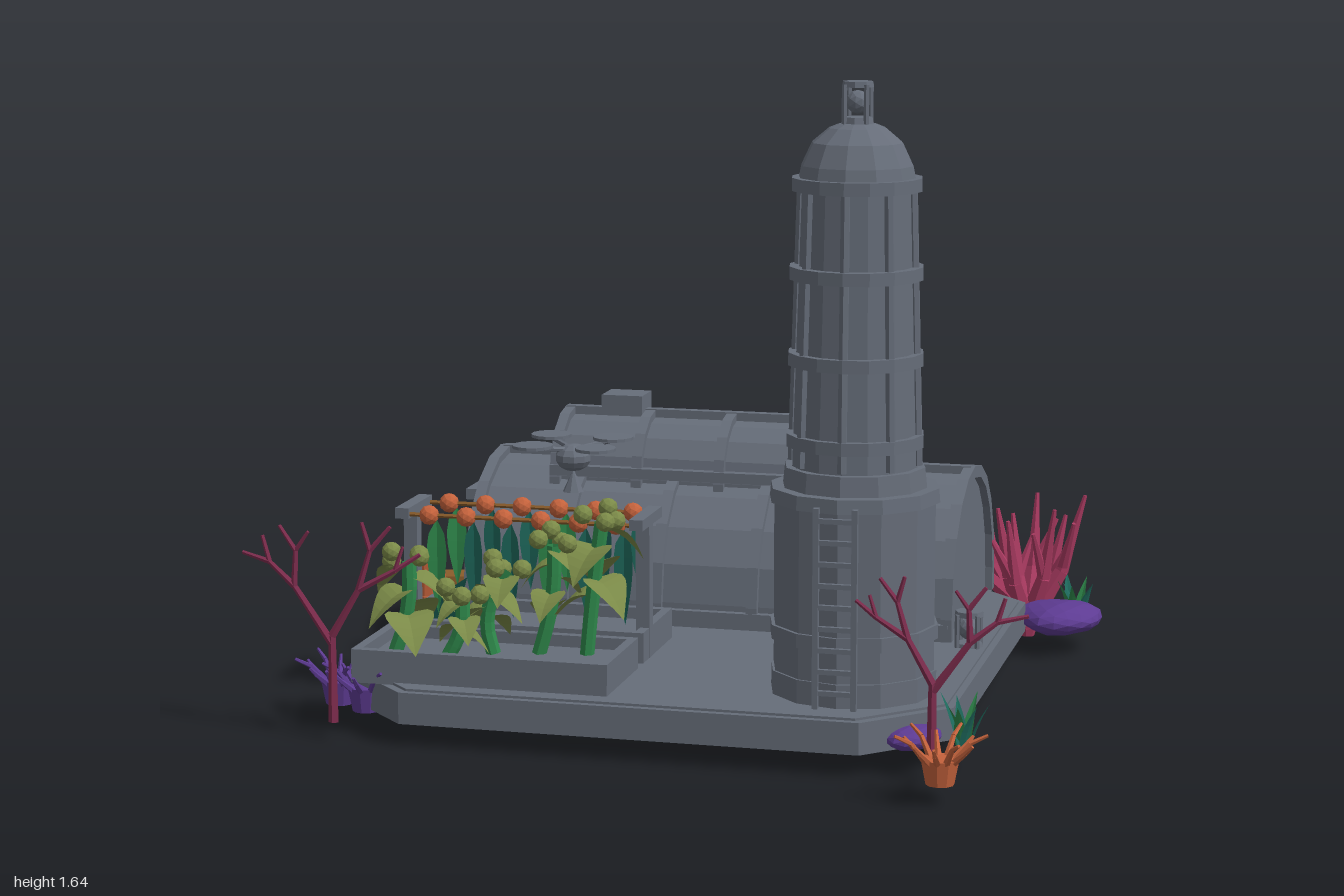
import * as THREE from 'three';

const mat = (name, color, side = THREE.FrontSide) => Object.assign(new THREE.MeshStandardMaterial({ color, side }), { name });
const V = (x, y, z) => new THREE.Vector3(x, y, z);

// Gives every face its own flat normal
function flat(geo) {
  const g = geo.index ? geo.toNonIndexed() : geo;
  g.computeVertexNormals();
  return g;
}

function add(parent, name, geo, material, x = 0, y = 0, z = 0) {
  const m = new THREE.Mesh(flat(geo), material);
  m.name = name;
  m.position.set(x, y, z);
  parent.add(m);
  return m;
}

function group(parent, name, x = 0, y = 0, z = 0) {
  const g = new THREE.Group();
  g.name = name;
  g.position.set(x, y, z);
  parent.add(g);
  return g;
}

// Tapered round bar between two points
function bar(parent, name, a, b, r0, r1, material, sides = 6) {
  const d = b.clone().sub(a);
  const m = add(parent, name, new THREE.CylinderGeometry(r1, r0, d.length(), sides), material);
  m.position.copy(a).addScaledVector(d, 0.5);
  m.quaternion.setFromUnitVectors(V(0, 1, 0), d.normalize());
  return m;
}

// Arched outline with short straight walls
function archPath(path, r, wall, n) {
  path.moveTo(r, 0);
  for (let i = 0; i <= n; i++) path.lineTo(r * Math.cos(i / n * Math.PI), wall + r * Math.sin(i / n * Math.PI));
  path.lineTo(-r, 0);
  path.closePath();
  return path;
}

// Barrel vault along x; an inner radius makes it a hollow rib
function vault(r, wall, n, length, inner) {
  const s = archPath(new THREE.Shape(), r, wall, n);
  if (inner) s.holes.push(archPath(new THREE.Path(), inner, wall, n));
  return new THREE.ExtrudeGeometry(s, { depth: length, bevelEnabled: false }).translate(0, 0, -length / 2).rotateY(Math.PI / 2);
}

// Square outline with cut corners
function platePath(path, h, c) {
  return path.setFromPoints([[-h + c, -h], [h - c, -h], [h, -h + c], [h, h - c], [h - c, h], [-h + c, h], [-h, h - c], [-h, -h + c], [-h + c, -h]].map(q => new THREE.Vector2(...q)));
}

// Pointed leaf growing along +z, folded at the midrib and drooping
function leafGeo(length, width, droop) {
  const g = new THREE.PlaneGeometry(1, 1, 2, 7), p = g.attributes.position;
  for (let i = 0; i < p.count; i++) {
    const t = 0.5 - p.getY(i), w = width * (Math.sin(Math.PI * Math.pow(t, 0.65)) + 0.06 * (1 - t));
    p.setXYZ(i, p.getX(i) * w, Math.abs(p.getX(i)) * w * 0.25 - droop * t * t, t * length);
  }
  return g;
}

export function createModel() {
  const root = new THREE.Group();
  root.name = 'seabedStation';
  const metal = mat('slate metal', 0x666d79), brown = mat('brown', 0x8a5c2b), orange = mat('orange', 0xc4623c);
  const olive = mat('olive', 0x7b8a48, THREE.DoubleSide), green = mat('green', 0x2f8a4c, THREE.DoubleSide);
  const teal = mat('teal', 0x1f6b5e, THREE.DoubleSide), purple = mat('purple', 0x5d3b92);
  const crimson = mat('crimson', 0xa83a60), maroon = mat('maroon', 0x7f2d4e);
  let seed = 7;
  const rnd = (a, b) => { seed = (seed * 16807) % 2147483647; return a + (b - a) * seed / 2147483647; };
  const box = (p, name, w, h, d, m, x, y, z) => add(p, name, new THREE.BoxGeometry(w, h, d), m, x, y, z);

  // Base deck inside a deeper cut-corner rim
  const base = group(root, 'base', 0.005, 0, -0.075);
  const slab = (name, shape, depth, y) => add(base, name, new THREE.ExtrudeGeometry(shape, { depth, bevelEnabled: false }).rotateX(-Math.PI / 2), metal, 0, y, 0);
  slab('deck', platePath(new THREE.Shape(), 0.757, 0.19), 0.02, 0.121);
  const rim = platePath(new THREE.Shape(), 0.775, 0.195);
  rim.holes.push(platePath(new THREE.Path(), 0.75, 0.187));
  slab('baseRim', rim, 0.08, 0.055);

  // Barrel-vaulted hall with raised roof
  const hall = group(root, 'hall', 0, 0.135, -0.47);
  add(hall, 'hallShell', vault(0.328, 0.065, 10, 1.29), metal);
  for (let i = 0; i < 6; i++) add(hall, 'hallRib', vault(0.347, 0.065, 10, 0.03, 0.315), metal, -0.66 + i * 0.262, 0, 0);
  for (const s of [-1, 1]) box(hall, 'hallSkirt', 1.32, 0.05, 0.03, metal, -0.005, 0.025, s * 0.335);
  box(hall, 'hallRidge', 1.32, 0.025, 0.028, metal, -0.005, 0.4, 0);
  const roof = group(hall, 'raisedRoof', -0.008, 0.31, 0);
  add(roof, 'roofShell', vault(0.152, 0.05, 8, 0.92), metal);
  for (let i = 0; i < 5; i++) add(roof, 'roofRib', vault(0.172, 0.05, 8, 0.028, 0.142), metal, -0.46 + i * 0.23, 0, 0);
  for (const s of [-1, 1]) box(roof, 'roofEave', 0.945, 0.028, 0.028, metal, 0, 0.07, s * 0.162);
  box(roof, 'roofRidge', 0.945, 0.03, 0.028, metal, 0, 0.207, 0);
  for (const x of [-0.31, 0.29]) box(hall, 'roofVent', 0.115, 0.055, 0.1, metal, x, 0.545, 0);

  // Hatch on the left-hand end of the hall
  const hatch = group(root, 'hatch', -0.68, 0, -0.47);
  box(hatch, 'hatchFrame', 0.04, 0.24, 0.2, metal, -0.005, 0.255, 0);
  add(hatch, 'hatchRing', new THREE.TorusGeometry(0.07, 0.016, 6, 8).rotateY(Math.PI / 2), metal, -0.04, 0.27, 0);
  add(hatch, 'hatchDoor', new THREE.CylinderGeometry(0.062, 0.062, 0.04, 8).rotateZ(Math.PI / 2), metal, -0.04, 0.27, 0);
  for (const a of [0, Math.PI / 2]) box(hatch, 'hatchWheel', 0.012, 0.08, 0.014, metal, -0.068, 0.27, 0).rotation.x = a;
  box(hatch, 'hatchHood', 0.08, 0.03, 0.15, metal, -0.035, 0.415, 0);

  // Tower
  const tower = group(root, 'tower', 0.51, 0, 0.4);
  const drum = (name, y0, y1, r0, r1, n = 16) => add(tower, name, new THREE.CylinderGeometry(r1, r0, y1 - y0, n), metal, 0, (y0 + y1) / 2, 0);
  drum('towerFoot', 0.13, 0.2, 0.208, 0.208, 12);
  drum('towerBase', 0.2, 0.63, 0.202, 0.202, 12);
  drum('baseBand', 0.28, 0.315, 0.211, 0.211, 12);
  drum('baseCap', 0.62, 0.655, 0.213, 0.21, 12);
  drum('baseCollar', 0.655, 0.705, 0.18, 0.175, 12);
  drum('towerShaft', 0.7, 1.4, 0.156, 0.135);
  for (const [y, r] of [[0.77, 0.17], [0.97, 0.167], [1.18, 0.165], [1.395, 0.16]]) drum('shaftBand', y - 0.016, y + 0.016, r, r);
  for (let i = 0; i < 8; i++) {
    const a = i / 8 * Math.PI * 2, s = Math.sin(a), k = Math.cos(a);
    bar(tower, 'shaftRib', V(s * 0.157, 0.71, k * 0.157), V(s * 0.137, 1.4, k * 0.137), 0.012, 0.012, metal, 6);
  }
  const dome = [[0.145, 1.405], [0.138, 1.44], [0.112, 1.495], [0.07, 1.53], [0.045, 1.54], [0, 1.545]];
  add(tower, 'dome', new THREE.LatheGeometry(dome.map(q => new THREE.Vector2(...q)), 12), metal);

  // Caged lamp, used on the tower and at the plate edge
  function lamp(parent, x, y, z, s) {
    const g = group(parent, 'cagedLamp', x, y, z);
    g.scale.setScalar(s);
    add(g, 'lampFoot', new THREE.CylinderGeometry(0.036, 0.04, 0.016, 8), metal, 0, 0.008, 0);
    add(g, 'lampBulb', new THREE.IcosahedronGeometry(0.029, 1), metal, 0, 0.052, 0);
    add(g, 'lampCap', new THREE.CylinderGeometry(0.037, 0.039, 0.014, 8), metal, 0, 0.095, 0);
    for (const i of [-1, 1]) for (const j of [-1, 1]) bar(g, 'cageBar', V(i * 0.027, 0, j * 0.027), V(i * 0.027, 0.095, j * 0.027), 0.007, 0.007, metal, 5);
  }
  lamp(tower, 0, 1.54, 0, 1);
  lamp(root, 0.715, 0.135, -0.1, 0.98);
  lamp(root, -0.76, 0.135, -0.775, 0.98);

  // Ladder up the tower base
  const ladder = group(tower, 'ladder', 0, 0, 0.215);
  for (const x of [-0.05, 0.045]) box(ladder, 'ladderRail', 0.014, 0.5, 0.016, metal, x, 0.385, 0);
  for (let i = 0; i < 9; i++) box(ladder, 'ladderRung', 0.1, 0.012, 0.012, metal, 0, 0.18 + i * 0.053, 0);

  // Pipe from tower to hall
  const pipe = group(root, 'pipe');
  const run = [V(0.44, 0.45, 0.24), V(0.42, 0.462, 0), V(0.415, 0.46, -0.07), V(0.41, 0.34, -0.19)];
  for (let i = 0; i < 3; i++) bar(pipe, 'pipeLength', run[i], run[i + 1], 0.031, 0.031, brown, 18);
  add(pipe, 'pipeElbow', new THREE.SphereGeometry(0.032, 16, 10), brown).position.copy(run[2]);
  bar(pipe, 'pipeFlange', V(0.421, 0.46, 0.012), V(0.42, 0.46, -0.012), 0.042, 0.042, brown, 16);

  // Raised planting beds
  for (const z of [0.145, 0.485]) {
    const bed = group(root, 'plantingBed', -0.39, 0.135, z);
    box(bed, 'bedFill', 0.62, 0.055, 0.26, metal, 0, 0.0275, 0);
    for (const s of [-1, 1]) {
      box(bed, 'bedLongSide', 0.66, 0.085, 0.024, metal, 0, 0.0425, s * 0.135);
      box(bed, 'bedEnd', 0.024, 0.085, 0.29, metal, s * 0.32, 0.0425, 0);
    }
  }

  // T-post trellis with fruit cords and hanging kelp
  const trellis = group(root, 'trellis');
  for (const x of [-0.7, -0.075]) {
    box(trellis, 'trellisPost', 0.036, 0.36, 0.036, metal, x, 0.32, 0.215);
    box(trellis, 'trellisBeam', 0.036, 0.028, 0.19, metal, x, 0.5, 0.203);
  }
  [0.122, 0.285].forEach((z, row) => {
    bar(trellis, 'fruitCord', V(-0.7, 0.497, z), V(-0.075, 0.497, z), 0.006, 0.006, brown, 5);
    for (let i = 0; i < 6; i++) {
      const x = -0.63 + i * 0.1;
      add(trellis, 'fruit', new THREE.IcosahedronGeometry(0.026, 1), orange, x, 0.497, z);
      const kelp = add(trellis, 'kelpBlade', leafGeo(row ? 0.25 : 0.21, 0.05, 0.01), i % 3 ? teal : green, x + 0.02, 0.485, z);
      kelp.rotation.set(Math.PI / 2, 0, rnd(-0.3, 0.3));
    }
  });
  for (const [x, z] of [[-0.65, 0.2], [-0.55, 0.22], [-0.6, 0.18]]) add(trellis, 'kelpShoot', leafGeo(0.19, 0.05, 0.02), teal, x, 0.19, z).rotation.set(-1.3, rnd(-1, 1), 0);

  // Broad-leaved crops in the front bed
  for (const [x, z, top, r] of [[-0.64, 0.54, 0.43, 0.115], [-0.5, 0.54, 0.34, 0.075], [-0.4, 0.47, 0.4, 0.085], [-0.29, 0.44, 0.47, 0.085], [-0.17, 0.42, 0.53, 0.115]]) {
    const crop = group(root, 'crop', x, 0.19, z), h = top - 0.19;
    const bend = rnd(-0.04, 0.04), lean = y => V(bend * Math.sin(y / h * 3) + 0.04 * y / h, y, 0);
    const path = new THREE.CatmullRomCurve3([0, 0.33, 0.66, 1].map(t => lean(t * h)));
    add(crop, 'cropStem', new THREE.TubeGeometry(path, 8, 0.019, 7), green);
    for (let i = 0; i < 5; i++) {
      const y = h * (0.45 + 0.5 * i / 4), leaf = add(crop, 'cropLeaf', leafGeo(r, r * 1.05, r * 0.75), olive);
      leaf.position.copy(lean(y));
      leaf.rotation.y = i * 2.5 + x * 9;
    }
    for (let i = 0; i < 4; i++) {
      const a = i * 1.9 + x * 5, q = lean(h * 0.97);
      add(crop, 'cropPod', new THREE.IcosahedronGeometry(0.025, 1), olive, q.x + Math.cos(a) * 0.045, h + 0.01 * i, Math.sin(a) * 0.045);
    }
  }

  // Hovering four-rotor drone
  const drone = group(root, 'drone', -0.29, 0.635, 0.123);
  add(drone, 'droneBody', new THREE.SphereGeometry(0.048, 10, 7).scale(1, 0.75, 1), metal);
  add(drone, 'droneNozzle', new THREE.ConeGeometry(0.028, 0.06, 8), metal, 0, -0.06, 0);
  for (const i of [-1, 1]) for (const j of [-1, 1]) {
    bar(drone, 'droneArm', V(0, 0.02, 0), V(i * 0.084, 0.034, j * 0.084), 0.007, 0.006, metal);
    add(drone, 'droneRotor', new THREE.CylinderGeometry(0.053, 0.053, 0.008, 14), metal, i * 0.084, 0.04, j * 0.084);
  }

  // Barrel and crate
  const barrel = group(root, 'barrel', -0.78, 0.14, -0.145);
  add(barrel, 'barrelBody', new THREE.CylinderGeometry(0.041, 0.041, 0.14, 12), orange, 0, 0.07, 0);
  for (const y of [0.04, 0.1]) add(barrel, 'barrelHoop', new THREE.CylinderGeometry(0.047, 0.047, 0.014, 12), orange, 0, y, 0);
  box(root, 'crate', 0.11, 0.08, 0.09, brown, -0.76, 0.175, -0.275).rotation.y = 0.3;

  // Purple boulders
  for (const [x, y, z, sx, sy, sz] of [[0.87, 0.092, -0.69, 0.118, 0.045, 0.12], [0.69, 0.08, 0.585, 0.075, 0.03, 0.078]]) {
    const g = new THREE.IcosahedronGeometry(1, 2), p = g.attributes.position;
    for (let i = 0; i < p.count; i++) {
      const k = 1 + 0.06 * Math.sin(p.getX(i) * 4 + p.getZ(i) * 3);
      p.setXYZ(i, p.getX(i) * sx * k, Math.max(p.getY(i), -0.75) * sy * k, p.getZ(i) * sz * k);
    }
    add(root, 'boulder', g, purple, x, y, z);
  }

  // Thick forking coral at the rear corner
  const coral = group(root, 'bushCoral', 0.76, 0.01, -0.83);
  add(coral, 'coralRoot', new THREE.CylinderGeometry(0.035, 0.02, 0.06, 7), crimson, 0, 0.02, 0);
  for (let i = 0; i < 8; i++) {
    const a = i * 2.4, d = rnd(0.08, 0.14), h = rnd(0.28, 0.42);
    const end = V(Math.cos(a) * d * 1.2 - 0.01, h, Math.sin(a) * d * 0.7 - 0.03), mid = V(end.x * 0.6, h * 0.45, end.z * 0.6);
    bar(coral, 'coralLimb', V(0, 0.02, 0), mid, 0.034, 0.021, crimson);
    bar(coral, 'coralTip', mid, end, 0.021, 0.006, crimson);
    bar(coral, 'coralTwig', mid, V(mid.x + Math.cos(a + 1) * 0.07, h * 0.82, mid.z + Math.sin(a + 1) * 0.05), 0.017, 0.006, crimson);
  }
  bar(coral, 'coralArm', V(-0.02, 0.08, 0), V(-0.14, 0.17, -0.01), 0.028, 0.018, crimson);
  for (const [y, z] of [[0.24, -0.03], [0.3, -0.07]]) bar(coral, 'coralArm', V(-0.14, 0.17, -0.01), V(-0.18 - y / 5, y, z), 0.018, 0.005, crimson);

  // Flat fan corals at the front corners: start, end and thickness of each branch
  const branches = [
    [0, 0, 0, 0.22, 0.014], [0, 0.2, -0.1, 0.34, 0.011], [-0.1, 0.34, -0.17, 0.395, 0.009], [-0.17, 0.395, -0.25, 0.41, 0.007],
    [-0.1, 0.34, -0.095, 0.43, 0.009], [-0.095, 0.43, -0.14, 0.49, 0.007], [-0.17, 0.395, -0.19, 0.46, 0.007], [-0.095, 0.43, -0.06, 0.48, 0.006],
    [0, 0.22, 0.07, 0.34, 0.011], [0.07, 0.34, 0.1, 0.44, 0.009], [0.1, 0.44, 0.15, 0.5, 0.007], [0.1, 0.44, 0.08, 0.51, 0.007],
    [0.07, 0.34, 0.16, 0.39, 0.009], [0.16, 0.39, 0.22, 0.43, 0.007], [0.16, 0.39, 0.18, 0.45, 0.006]];
  function fan(x, flip, scale) {
    const g = group(root, 'fanCoral', x, 0.045, 0.685);
    const at = (px, py) => V(px * flip * scale, py * scale, -0.7 * px * px);
    for (const [ax, ay, bx, by, r] of branches) bar(g, 'fanBranch', at(ax, ay), at(bx, by), r, r * 0.72, maroon, 5);
  }
  fan(-0.75, 1, 1);
  fan(0.76, -1, 0.88);

  // Anemones
  for (const [x, z, m, n] of [[0.81, 0.855, orange, 11], [-0.8, 0.51, purple, 11], [-0.71, 0.56, purple, 9]]) {
    const g = group(root, 'anemone', x, 0.045, z);
    add(g, 'anemoneStalk', new THREE.CylinderGeometry(0.046, 0.034, 0.062, 10), m, 0, 0.031, 0);
    for (let i = 0; i < n; i++) {
      const a = i / n * Math.PI * 2, s = Math.sin(a), k = Math.cos(a), R = 0.09 + 0.02 * (i % 2), y = 0.1 + 0.015 * (i % 2);
      bar(g, 'tentacle', V(s * 0.035, 0.055, k * 0.035), V(s * 0.07, y - 0.015, k * 0.07), 0.009, 0.006, m, 5);
      bar(g, 'tentacleTip', V(s * 0.07, y - 0.015, k * 0.07), V(s * R, y + 0.005, k * R), 0.006, 0.004, m, 5);
    }
  }

  // Seagrass tufts
  for (const [x, z] of [[0.9, -0.83], [0.81, 0.545]]) {
    const g = group(root, 'seagrass', x, 0.035, z);
    for (let i = 0; i < 7; i++) add(g, 'grassBlade', leafGeo(rnd(0.12, 0.16), 0.03, 0.02), i % 3 ? teal : green, rnd(-0.02, 0.02), 0, rnd(-0.02, 0.02)).rotation.set(-1.35, i * 0.9, 0, 'YXZ');
  }
  return root;
}
